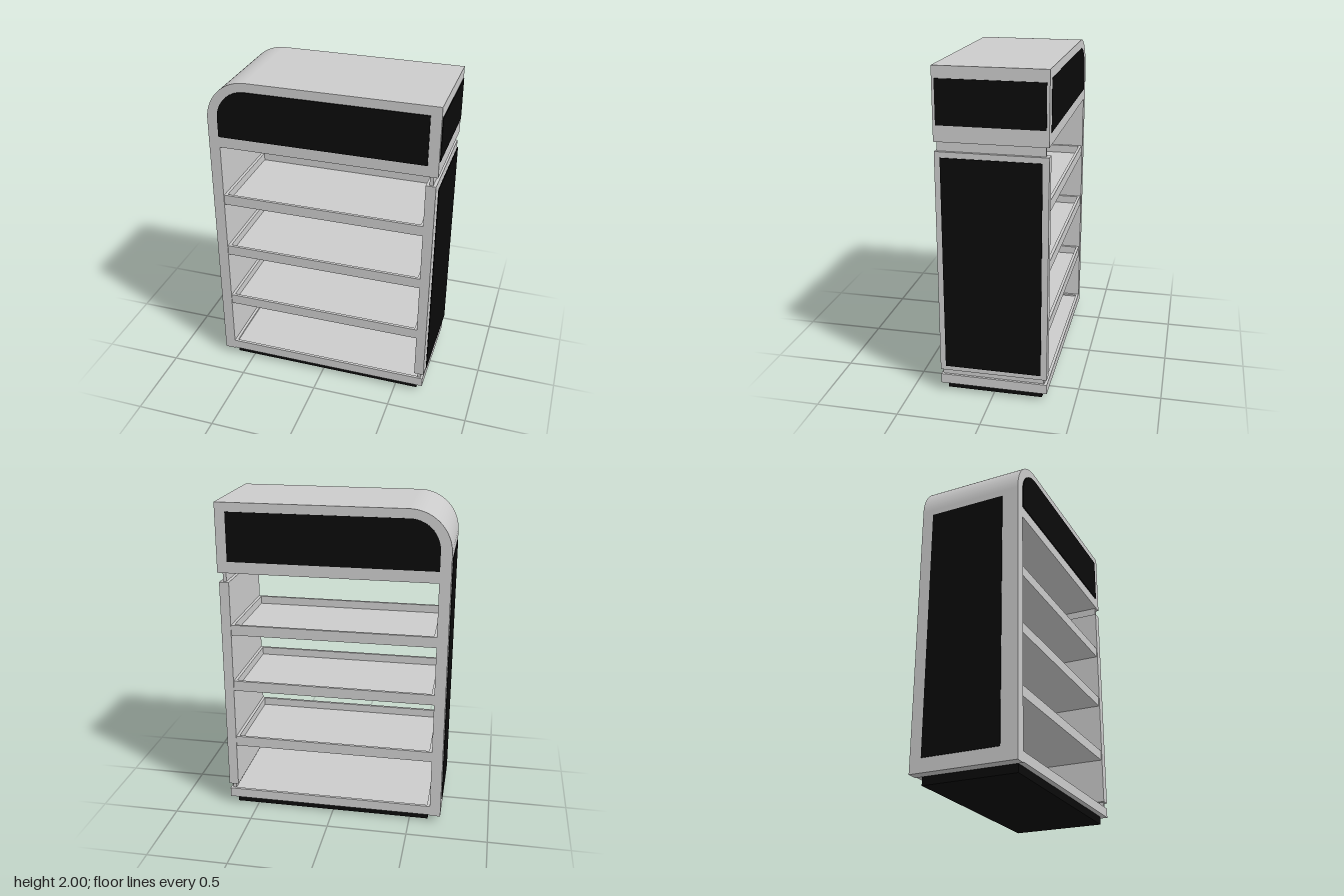
import * as THREE from 'three';

const grey = new THREE.MeshStandardMaterial({ color: 0xcccccc });
const black = new THREE.MeshStandardMaterial({ color: 0x0a0a0a });
const BACK = -0.331, FRONT = 0.324;

export function createModel() {
  const root = new THREE.Group();

  // Box given by its minimum and maximum on each axis
  function box(name, [x0, x1], [y0, y1], [z0, z1], material = grey, parent = root) {
    const mesh = new THREE.Mesh(new THREE.BoxGeometry(x1 - x0, y1 - y0, z1 - z0), material);
    mesh.position.set((x0 + x1) / 2, (y0 + y1) / 2, (z0 + z1) / 2);
    mesh.name = name;
    parent.add(mesh);
    return mesh;
  }

  // Outline extruded along z between two depths
  function slab(name, shape, z0, z1, material) {
    const geometry = new THREE.ExtrudeGeometry(shape, { depth: z1 - z0, bevelEnabled: false, curveSegments: 24 });
    const mesh = new THREE.Mesh(geometry, material);
    mesh.position.z = z0;
    mesh.name = name;
    root.add(mesh);
  }

  // Shallow tray with a raised rim on all four sides
  function tray(name, [x0, x1], [y0, y1], [z0, z1], floor, rim) {
    const group = new THREE.Group();
    group.name = name;
    root.add(group);
    box('trayFloor', [x0, x1], [y0, y0 + floor], [z0, z1], grey, group);
    const ry = [y0 + floor, y1];
    box('frontRim', [x0, x1], ry, [z1 - rim, z1], grey, group);
    box('backRim', [x0, x1], ry, [z0, z0 + rim], grey, group);
    box('leftRim', [x1 - rim, x1], ry, [z0 + rim, z1 - rim], grey, group);
    box('rightRim', [x0, x0 + rim], ry, [z0 + rim, z1 - rim], grey, group);
  }

  // Side wall running over a rounded corner into the header
  const shell = new THREE.Shape();
  shell.moveTo(-0.698, 0.045);
  shell.lineTo(-0.63, 0.045);
  shell.lineTo(-0.63, 1.575);
  shell.lineTo(0.695, 1.575);
  shell.lineTo(0.695, 2);
  shell.lineTo(-0.448, 2);
  shell.absarc(-0.448, 1.75, 0.25, Math.PI / 2, Math.PI, false);
  shell.closePath();
  slab('wallAndHeader', shell, BACK, FRONT, grey);

  // Dark header signs, front and back, following the rounded corner
  const sign = new THREE.Shape();
  sign.moveTo(-0.632, 1.645);
  sign.lineTo(0.632, 1.645);
  sign.lineTo(0.632, 1.945);
  sign.lineTo(-0.452, 1.945);
  sign.absarc(-0.452, 1.765, 0.18, Math.PI / 2, Math.PI, false);
  sign.closePath();
  slab('frontSign', sign, FRONT, 0.331, black);
  slab('backSign', sign, BACK - 0.002, BACK + 0.01, black);

  // Dark panels on the header end and the solid wall
  box('headerEndPanel', [0.69, 0.7], [1.67, 1.93], [-0.315, 0.308], black);
  box('wallPanel', [-0.703, -0.695], [0.13, 1.71], [-0.257, 0.222], black);

  // Narrower side wall held between two recessed connectors
  box('sideWall', [0.627, 0.687], [0.145, 1.517], [BACK, FRONT]);
  box('sideWallPanel', [0.694, 0.699], [0.178, 1.485], [-0.295, 0.288], black);
  box('upperConnector', [0.647, 0.668], [1.517, 1.575], [-0.31, 0.313]);
  box('lowerConnector', [0.647, 0.668], [0.108, 0.145], [-0.31, 0.313]);

  // Shelves
  for (const y of [0.425, 0.81, 1.18]) {
    tray('shelf', [-0.63, 0.627], [y, y + 0.065], [BACK + 0.006, FRONT - 0.006], 0.015, 0.018);
  }

  // Base deck and dark plinth
  tray('base', [-0.63, 0.682], [0.05, 0.11], [BACK, FRONT], 0.05, 0.018);
  box('plinth', [-0.617, 0.64], [0, 0.05], [-0.295, 0.29], black);

  return root;
}
